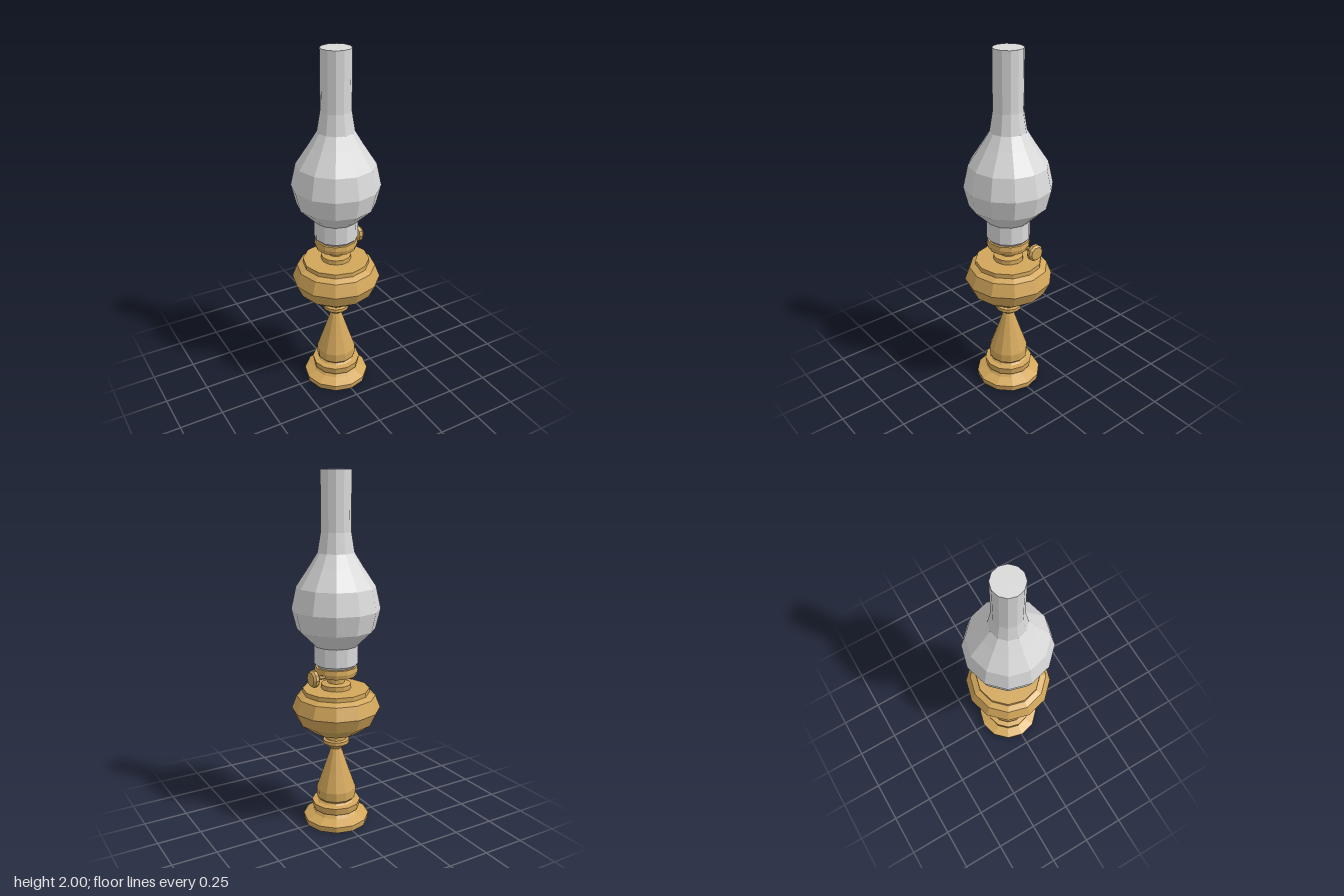
import * as THREE from 'three';

const SIDES = 12;

export function createModel() {
  const brass = new THREE.MeshStandardMaterial({ color: 0xd2a65a, flatShading: true, side: THREE.DoubleSide });
  brass.name = 'brass';
  const glass = new THREE.MeshStandardMaterial({ color: 0xd9d9d9, flatShading: true, side: THREE.DoubleSide });
  glass.name = 'frosted glass';

  const lamp = new THREE.Group();
  lamp.name = 'oilLamp';

  // Turned part from [radius, height] pairs, listed bottom to top
  const turn = (name, profile, material, sides = SIDES) => {
    const points = profile.map(([r, y]) => new THREE.Vector2(r, y));
    const mesh = new THREE.Mesh(new THREE.LatheGeometry(points, sides), material);
    mesh.name = name;
    return mesh;
  };

  // Hollow stepped foot, open underneath
  lamp.add(turn('foot', [
    [0.185, 0], [0.19, 0.035], [0.135, 0.06], [0.12, 0.08],
    [0.135, 0.085], [0.14, 0.125], [0.11, 0.13],
  ], brass));

  // Bell-shaped stem with a small collar on top
  lamp.add(turn('stem', [
    [0.11, 0.13], [0.1, 0.14], [0.113, 0.155], [0.113, 0.205], [0.075, 0.315], [0.03, 0.45],
  ], brass));
  lamp.add(turn('stemCollar', [
    [0.03, 0.45], [0.055, 0.47], [0.075, 0.485], [0.075, 0.505], [0.06, 0.51], [0.06, 0.53],
  ], brass));

  // Oil reservoir with a raised rim
  lamp.add(turn('reservoir', [
    [0.06, 0.53], [0.125, 0.555], [0.215, 0.62], [0.25, 0.695], [0.222, 0.768],
    [0.188, 0.785], [0.188, 0.81], [0.085, 0.812],
  ], brass));

  // Burner neck and gallery holding the chimney
  lamp.add(turn('burner', [
    [0.085, 0.812], [0.085, 0.838], [0.047, 0.845], [0.047, 0.872], [0.06, 0.885],
    [0.115, 0.89], [0.122, 0.915], [0.118, 0.94], [0, 0.942],
  ], brass));

  // Glass chimney, closed at the top
  lamp.add(turn('chimney', [
    [0.108, 0.942], [0.122, 0.957], [0.122, 1.062], [0.217, 1.155], [0.244, 1.265],
    [0.217, 1.388], [0.143, 1.5], [0.1, 1.57], [0.082, 1.68], [0.082, 2], [0, 2],
  ], glass));

  // Wick adjuster: spindle and bevelled knob turned along x
  const adjuster = new THREE.Group();
  adjuster.name = 'wickAdjuster';
  adjuster.add(turn('spindle', [[0.012, 0.07], [0.012, 0.155]], brass, 8));
  adjuster.add(turn('knob', [
    [0, 0.148], [0.035, 0.15], [0.048, 0.16], [0.048, 0.178], [0.038, 0.19], [0, 0.19],
  ], brass, 10));
  adjuster.rotation.z = -Math.PI / 2;
  adjuster.position.set(0, 0.903, -0.05);
  lamp.add(adjuster);

  return lamp;
}
